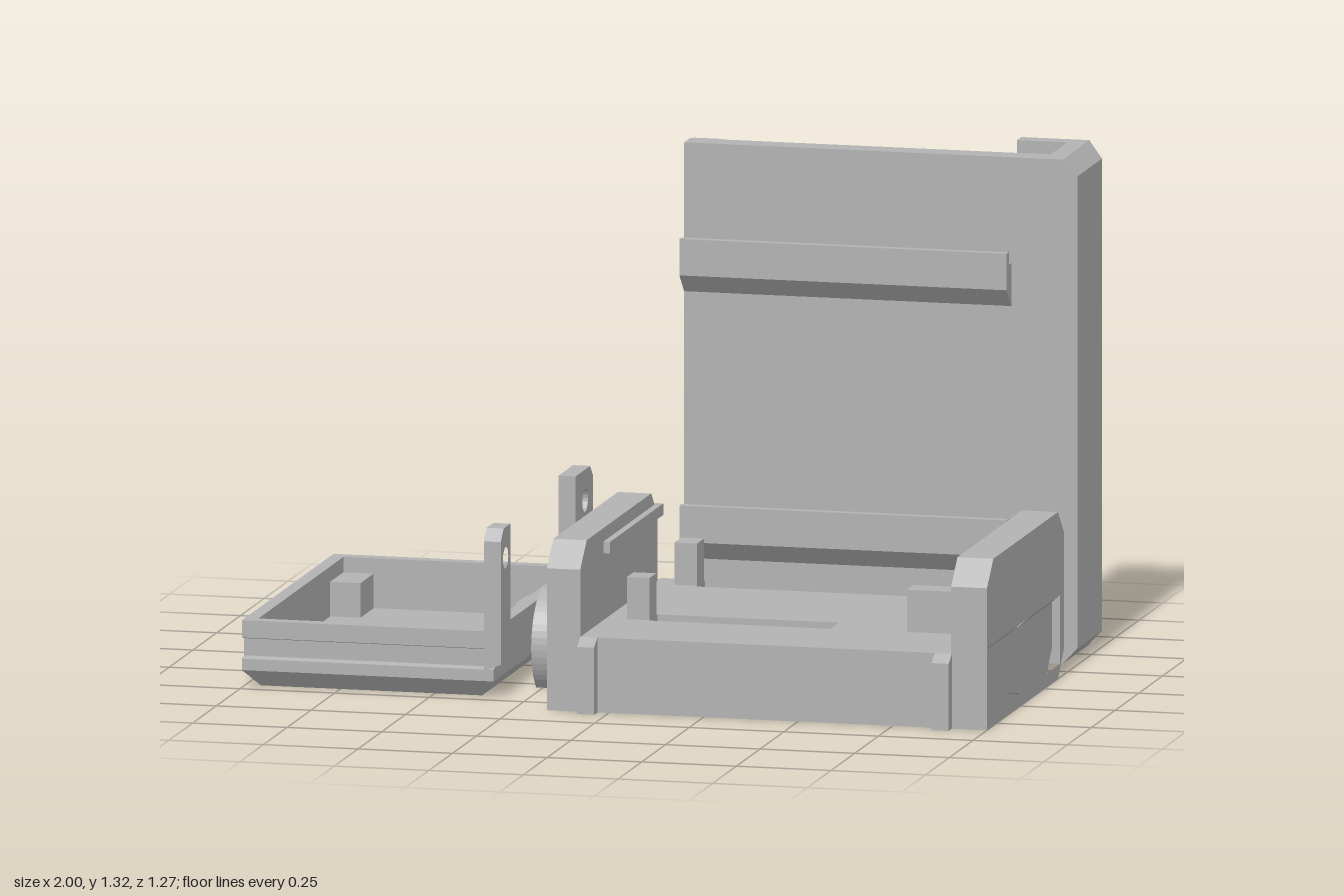
import * as THREE from 'three';

const plastic = new THREE.MeshStandardMaterial({ color: 0xb2b2b2 });
plastic.name = 'grey plastic';

function add(group, name, geometry) {
  const mesh = new THREE.Mesh(geometry, plastic);
  mesh.name = name;
  group.add(mesh);
  return geometry;
}

function box(x0, x1, y0, y1, z0, z1) {
  return new THREE.BoxGeometry(x1 - x0, y1 - y0, z1 - z0)
    .translate((x0 + x1) / 2, (y0 + y1) / 2, (z0 + z1) / 2);
}

function extrude(points, holes, depth) {
  const shape = new THREE.Shape(points.map(p => new THREE.Vector2(...p)));
  for (const h of holes) shape.holes.push(new THREE.Path(h.map(p => new THREE.Vector2(...p))));
  return new THREE.ExtrudeGeometry(shape, { depth, bevelEnabled: false });
}

// Outline in (z, y), extruded along x
function prismX(points, x0, x1, holes = []) {
  const flip = list => list.map(([z, y]) => [-z, y]);
  return extrude(flip(points), holes.map(flip), x1 - x0).rotateY(Math.PI / 2).translate(x0, 0, 0);
}

// Outline in (x, z), extruded along y
function prismY(points, y0, y1, holes = []) {
  const flip = list => list.map(([x, z]) => [x, -z]);
  return extrude(flip(points), holes.map(flip), y1 - y0).rotateX(-Math.PI / 2).translate(0, y0, 0);
}

const rect = (a0, a1, b0, b1) => [[a0, b0], [a1, b0], [a1, b1], [a0, b1]];

function circle(a, b, r, n = 32) {
  return Array.from({ length: n }, (_, i) => {
    const t = i / n * Math.PI * 2;
    return [a + r * Math.cos(t), b + r * Math.sin(t)];
  });
}

// Joins rectangular rings [x0, x1, z0, z1, y] into a flat-faced skin
function rectLoft(rings) {
  const corners = rings.map(([x0, x1, z0, z1, y]) => [[x0, y, z1], [x1, y, z1], [x1, y, z0], [x0, y, z0]]);
  const pos = [];
  for (let j = 0; j < rings.length - 1; j++) {
    for (let i = 0; i < 4; i++) {
      const k = (i + 1) % 4;
      const [a, b, c, d] = [corners[j][i], corners[j][k], corners[j + 1][k], corners[j + 1][i]];
      pos.push(...a, ...b, ...c, ...a, ...c, ...d);
    }
  }
  const g = new THREE.BufferGeometry();
  g.setAttribute('position', new THREE.Float32BufferAttribute(pos, 3));
  g.computeVertexNormals();
  return g;
}

function moveVertices(g, rule) {
  const p = g.attributes.position;
  const v = new THREE.Vector3();
  for (let i = 0; i < p.count; i++) {
    v.fromBufferAttribute(p, i);
    rule(v);
    p.setXYZ(i, v.x, v.y, v.z);
  }
  g.computeVertexNormals();
  return g;
}

function makeTray() {
  const g = new THREE.Group();
  g.name = 'coverTray';
  // Walls: chamfered foot, slide groove on both long sides, rim, inner faces
  add(g, 'trayWalls', rectLoft([
    [-0.96, -0.375, -0.445, 0.44, 0], [-1, -0.335, -0.485, 0.48, 0.045],
    [-1, -0.335, -0.485, 0.48, 0.075], [-1, -0.335, -0.465, 0.46, 0.08],
    [-1, -0.335, -0.465, 0.46, 0.125], [-1, -0.335, -0.485, 0.48, 0.13],
    [-1, -0.335, -0.485, 0.48, 0.175], [-0.965, -0.37, -0.45, 0.445, 0.175],
    [-0.965, -0.37, -0.45, 0.445, 0.045],
  ]));
  // Floor with two through openings, and shallow vents underneath
  const openings = [rect(-0.77, -0.57, 0.14, 0.34), rect(-0.51, -0.43, -0.4, -0.31)];
  const vents = [rect(-0.95, -0.93, -0.36, 0.22)];
  for (const x of [-0.84, -0.67]) {
    for (let i = 0; i < 5; i++) {
      const z = -0.3 + i * 0.065;
      vents.push([[x - 0.06, z - 0.03], [x + 0.06, z + 0.03], [x + 0.06, z + 0.052], [x - 0.06, z - 0.008]]);
    }
  }
  add(g, 'trayFloor', prismY(rect(-0.966, -0.369, -0.451, 0.446), 0.015, 0.045, openings));
  add(g, 'trayUnderside', prismY(rect(-0.96, -0.375, -0.445, 0.44), 0, 0.015, [...openings, ...vents]));
  // Inner posts
  for (const [x0, x1, z0, z1] of [[-0.966, -0.885, -0.451, -0.31], [-0.43, -0.369, -0.245, -0.125],
    [-0.966, -0.885, 0.37, 0.446], [-0.445, -0.369, 0.37, 0.446]]) {
    add(g, 'trayPost', box(x0, x1, 0.04, 0.135, z0, z1));
  }
  // Upright screw tabs
  const tab = (outer, inner, holeZ, r) => {
    const s = Math.sign(outer) * 0.03;
    const outline = [[outer, 0.07], [outer, 0.41], [outer - s, 0.44], [inner, 0.44], [inner, 0.07]];
    add(g, 'screwTab', moveVertices(prismX(outline, -0.36, -0.315, [circle(holeZ, 0.36, r, 20)]), v => {
      if (v.y < 0.08 && v.x > -0.33) v.y = 0.09;
    }));
  };
  tab(-0.488, -0.305, -0.405, 0.03);
  tab(0.483, 0.382, 0.432, 0.028);
  return g;
}

function makeBody() {
  const g = new THREE.Group();
  g.name = 'mainBody';
  // Central block with two rear ears, slots below and a pocket on top
  const outline = [[-0.076, 0.6], [0.906, 0.6], [0.906, -0.255], [0.7, -0.255], [0.7, -0.16],
    [0.04, -0.16], [0.04, -0.255], [-0.076, -0.255]];
  const slots = [];
  for (let i = 0; i < 5; i++) slots.push(rect(0.1, 0.8, i * 0.075 - 0.01, i * 0.075 + 0.012));
  add(g, 'slottedBase', prismY(outline, 0, 0.02, slots));
  add(g, 'bodyBlock', prismY(outline, 0.02, 0.145));
  add(g, 'bodyTop', prismY(outline, 0.145, 0.195, [rect(0.04, 0.52, 0.245, 0.335)]));
  // Mounting posts
  for (const [x0, x1, z0, z1] of [[-0.02, 0.04, 0.26, 0.33], [-0.02, 0.04, -0.245, -0.17],
    [0.78, 0.855, -0.245, -0.17], [0.72, 0.855, 0.26, 0.33]]) {
    add(g, 'mountingPost', box(x0, x1, 0.19, 0.305, z0, z1));
  }
  // Side plates
  const side = [[0.602, 0], [0.602, 0.37], [0.535, 0.435], [-0.145, 0.435], [-0.21, 0.37], [-0.21, 0.07], [-0.145, 0]];
  add(g, 'sidePlateRight', prismX(side, -0.163, -0.075));
  const bore = circle(0.21, 0.11, 0.058);
  add(g, 'sidePlateLeftInner', prismX(side, 0.905, 0.925));
  add(g, 'sidePlateLeftBore', prismX(side, 0.925, 0.968, [bore]));
  // Recessed panel with rounded swellings around the bore
  const arc = (y, s) => {
    const pts = [];
    for (let i = 0; i <= 10; i++) {
      const z = 0.15 + i * 0.012;
      pts.push([z, Math.max(s * (y - 0.11), Math.sqrt(0.0074 - (z - 0.21) ** 2)) * s + 0.11]);
    }
    return pts;
  };
  const recess = [[-0.165, 0.035], ...arc(0.035, -1), [0.592, 0.035], [0.592, 0.215], [-0.165, 0.215]];
  add(g, 'sidePlateLeftFrame', prismX(side, 0.968, 1, [recess]));
  // Sloping upper lip of the recess
  for (const [z0, z1] of [[-0.165, 0.16], [0.26, 0.592]]) {
    add(g, 'recessLip', extrude([[0.967, 0.185], [1, 0.215], [0.967, 0.215]], [], z1 - z0).translate(0, 0, z0));
  }
  add(g, 'recessLipMiddle', extrude([[0.967, 0.197], [1, 0.215], [0.967, 0.215]], [], 0.1).translate(0, 0, 0.16));
  // Snap rails and front clips, one per side
  const clip = [[0.595, 0], [0.636, 0], [0.636, 0.175], [0.602, 0.195], [0.595, 0.195]];
  for (const [x0, x1, c0, c1] of [[-0.08, -0.057, -0.075, -0.03], [0.89, 0.91, 0.862, 0.907]]) {
    add(g, 'snapRail', box(x0, x1, 0.37, 0.4, -0.2, 0.36));
    add(g, 'frontClip', prismX(clip, c0, c1));
  }
  // Round boss, cut flat on the ground
  const boss = [];
  const start = -Math.asin(0.11 / 0.14);
  for (let i = 0; i <= 40; i++) {
    const t = start + (Math.PI - 2 * start) * i / 40;
    boss.push([0.21 + 0.14 * Math.cos(t), 0.11 + 0.14 * Math.sin(t)]);
  }
  add(g, 'roundBoss', prismX(boss, -0.268, -0.16));
  return g;
}

function makeBackPanel() {
  const g = new THREE.Group();
  g.name = 'backPanel';
  add(g, 'panelPlate', prismY([[-0.04, -0.352], [0.93, -0.352], [0.93, -0.415], [0.06, -0.415],
    [0.04, -0.422], [-0.03, -0.422], [-0.04, -0.415]], 0, 1.315));
  // Side wall with chamfered top, bottom and rear edge
  const wall = [[0.913, 0], [0.96, 0], [1, 0.043], [1, 1.273], [0.96, 1.315], [0.913, 1.315]];
  add(g, 'panelSideWall', extrude(wall, [], 0.258).translate(0, 0, -0.61));
  add(g, 'panelRearChamfer', moveVertices(extrude(wall, [], 0.025).translate(0, 0, -0.635), v => {
    if (v.z < -0.62 && v.x > 0.99) v.x = 0.962;
  }));
  // Rear lip with a finger cut-out
  const lip = [[0.92, 0], [0.92, 1.315], [0.78, 1.315], [0.78, 0.98], [0.912, 0.88], [0.912, 0.46], [0.78, 0.36], [0.78, 0]];
  add(g, 'rearLip', extrude(lip, [], 0.045).translate(0, 0, -0.635));
  // Hooked rails on the front
  for (const y of [0.23, 0.925]) {
    const hook = [[-0.354, 0], [-0.302, 0.052], [-0.302, 0.147], [-0.325, 0.147], [-0.325, 0.115], [-0.354, 0.115]];
    add(g, 'hookRail', prismX(hook.map(([z, h]) => [z, y + h]), -0.04, 0.825));
  }
  return g;
}

export function createModel() {
  const model = new THREE.Group();
  model.name = 'enclosureKit';
  model.add(makeTray(), makeBody(), makeBackPanel());
  return model;
}
